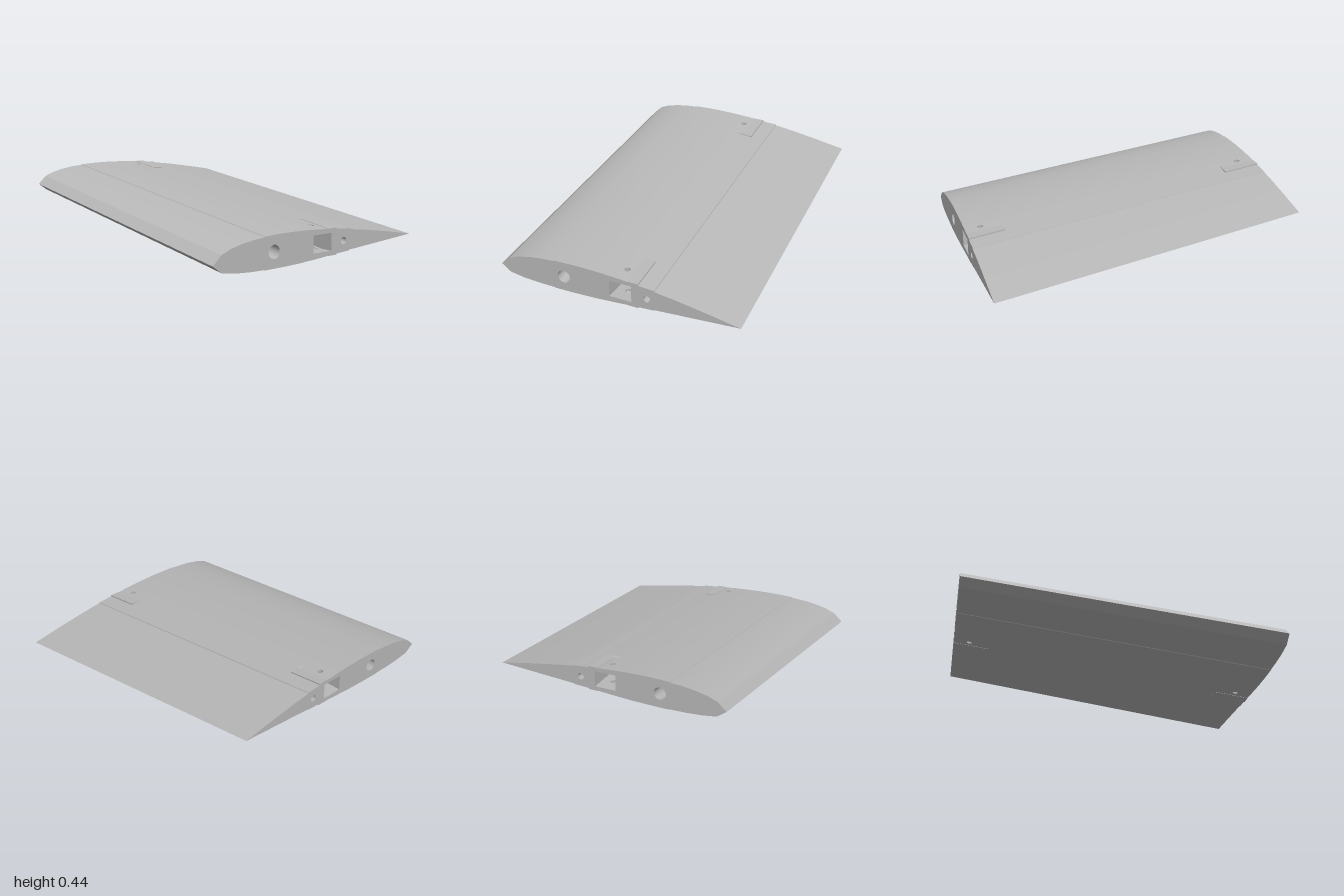
import * as THREE from 'three';
import { mergeGeometries, toCreasedNormals } from 'three/addons/utils/BufferGeometryUtils.js';

// Airfoil section at the front end, leading edge to trailing edge, with small skin steps
const UPPER = [[-0.815, 0.075], [-0.755, 0.131], [-0.69, 0.157], [-0.6, 0.177], [-0.52, 0.188], [-0.432, 0.194],
  [-0.43, 0.198], [-0.34, 0.201], [-0.24, 0.202], [-0.12, 0.199], [-0.01, 0.193], [0.07, 0.187], [0.15, 0.179],
  [0.258, 0.171], [0.26, 0.165], [0.4, 0.146], [0.6, 0.113], [0.815, 0.074]];
const LOWER = [[-0.815, 0.075], [-0.75, 0.028], [-0.65, 0.013], [-0.54, 0.006], [-0.432, 0.004], [-0.43, 0.001],
  [-0.3, 0.002], [-0.16, 0.006], [-0.01, 0.015], [0.07, 0.021], [0.15, 0.027], [0.258, 0.033], [0.26, 0.037],
  [0.5, 0.053], [0.815, 0.074]];
const POCKET = { x0: -0.045, x1: 0.105, y0: 0.05, y1: 0.16, depth: 0.235 };
const BORES = [[-0.36, 0.1, 0.043], [0.21, 0.1, 0.023]];
const SCREW = { x: 0.03, z: 0.9, r: 0.018 };
const SEG = 24;

// Tapers and lifts a section point along the span
function place(x, y, z) {
  const t = (1 - z) / 2, s = 1 - 0.088 * t;
  return new THREE.Vector3(s * x - 0.006 * t, s * y + 0.253 * t, z);
}

// Height of a section line at x
function heightAt(line, x) {
  const i = Math.max(1, line.findIndex(p => p[0] >= x));
  const [a, b] = [line[i - 1], line[i]];
  return a[1] + (b[1] - a[1]) * (x - a[0]) / (b[0] - a[0]);
}

const rect = (x0, y0, x1, y1) => new THREE.Shape(
  [[x0, y0], [x1, y0], [x1, y1], [x0, y1]].map(p => new THREE.Vector2(...p)));

const circle = (x, y, r) => Array.from({ length: SEG }, (_, i) => {
  const a = i / SEG * Math.PI * 2;
  return new THREE.Vector2(x + r * Math.cos(a), y + r * Math.sin(a));
});

function mapPoints(geo, map) {
  const p = geo.attributes.position;
  for (let i = 0; i < p.count; i++) {
    const v = map(p.getX(i), p.getY(i), p.getZ(i));
    p.setXYZ(i, v.x, v.y, v.z);
  }
  geo.deleteAttribute('uv');
  geo.computeVertexNormals();
  return geo;
}

// Flat shape bent into place by a rule
function patch(shape, map, flip = false) {
  const geo = new THREE.ShapeGeometry(shape);
  if (flip) geo.setIndex([...geo.index.array].reverse());
  return mapPoints(geo, map);
}

// Wall between two rings
function wall(a, b) {
  const n = a.length, index = [];
  for (let i = 0; i < n; i++) {
    const j = (i + 1) % n;
    index.push(i, i + n, j, j, i + n, j + n);
  }
  const geo = new THREE.BufferGeometry().setFromPoints([...a, ...b]);
  geo.setIndex(index);
  geo.computeVertexNormals();
  return geo;
}

export function createModel() {
  const group = new THREE.Group();
  const grey = new THREE.MeshStandardMaterial({ color: 0xb8b8b8, side: THREE.DoubleSide });
  grey.name = 'wing grey';
  const add = (name, geos, crease = 0.35) => {
    const mesh = new THREE.Mesh(toCreasedNormals(mergeGeometries(geos), crease), grey);
    mesh.name = name;
    group.add(mesh);
  };
  const screwHole = end => circle(SCREW.x, end * SCREW.z, SCREW.r);

  // Upper and lower skins, pierced by the screw holes
  for (const [name, line, flip] of [['upperSkin', UPPER, true], ['lowerSkin', LOWER, false]]) {
    const panels = [];
    for (let i = 1; i < line.length; i++) {
      const [a, b] = [line[i - 1], line[i]];
      const shape = rect(a[0], -1, b[0], 1);
      if (a[0] < SCREW.x && b[0] > SCREW.x)
        for (const end of [1, -1]) shape.holes.push(new THREE.Path(screwHole(end)));
      panels.push(patch(shape, (x, z) =>
        place(x, a[1] + (b[1] - a[1]) * (x - a[0]) / (b[0] - a[0]), z), flip));
    }
    add(name, panels);
  }

  // Spar bores running the whole span
  for (const [x, y, r] of BORES) {
    const ring = circle(x, y, r);
    add(r > 0.03 ? 'sparBore' : 'pinBore',
      [wall(ring.map(p => place(p.x, p.y, 1)), ring.map(p => place(p.x, p.y, -1)))]);
  }

  for (const end of [1, -1]) {
    const side = end > 0 ? 'front' : 'back';
    const { x0, x1, y0, y1, depth } = POCKET;

    // End rib with its openings
    const outline = [...UPPER, ...LOWER.slice(1, -1).reverse()].map(p => new THREE.Vector2(...p));
    const rib = new THREE.Shape(outline);
    rib.holes.push(new THREE.Path(rect(x0, y0, x1, y1).getPoints()));
    for (const b of BORES) rib.holes.push(new THREE.Path(circle(...b)));
    add(side + 'Rib', [patch(rib, (x, y) => place(x, y, end), end < 0)]);

    // Straight joiner pocket
    const straight = (x, y, z) => place(x, y, end).setZ(z);
    const inner = end * (1 - depth), zMin = Math.min(end, inner), zMax = Math.max(end, inner);
    const parts = [patch(rect(x0, y0, x1, y1), (x, y) => straight(x, y, inner), end < 0)];
    for (const y of [y0, y1]) {
      const shape = rect(x0, zMin, x1, zMax);
      shape.holes.push(new THREE.Path(screwHole(end)));
      parts.push(patch(shape, (x, z) => straight(x, y, z), y === y0));
    }
    for (const x of [x0, x1])
      parts.push(patch(rect(y0, zMin, y1, zMax), (y, z) => straight(x, y, z), x === x1));
    add(side + 'JoinerPocket', parts);

    // Screw hole walls from the skins into the pocket
    const ring = screwHole(end);
    const onSkin = line => ring.map(p => place(p.x, heightAt(line, p.x), p.y));
    const inPocket = y => ring.map(p => straight(p.x, y, p.y));
    add(side + 'ScrewHole', [wall(onSkin(UPPER), inPocket(y1)), wall(inPocket(y0), onSkin(LOWER))]);

    // Reinforcing pads standing slightly proud of the skins
    for (const [name, low, high] of [['UpperPad', 0.168, 0.188], ['LowerPad', 0.02, 0.04]]) {
      const pad = new THREE.BoxGeometry(0.07, high - low, depth);
      pad.translate(0.117, (low + high) / 2, end * (1 - depth / 2));
      add(side + name, [mapPoints(pad, place)]);
    }
  }
  return group;
}
